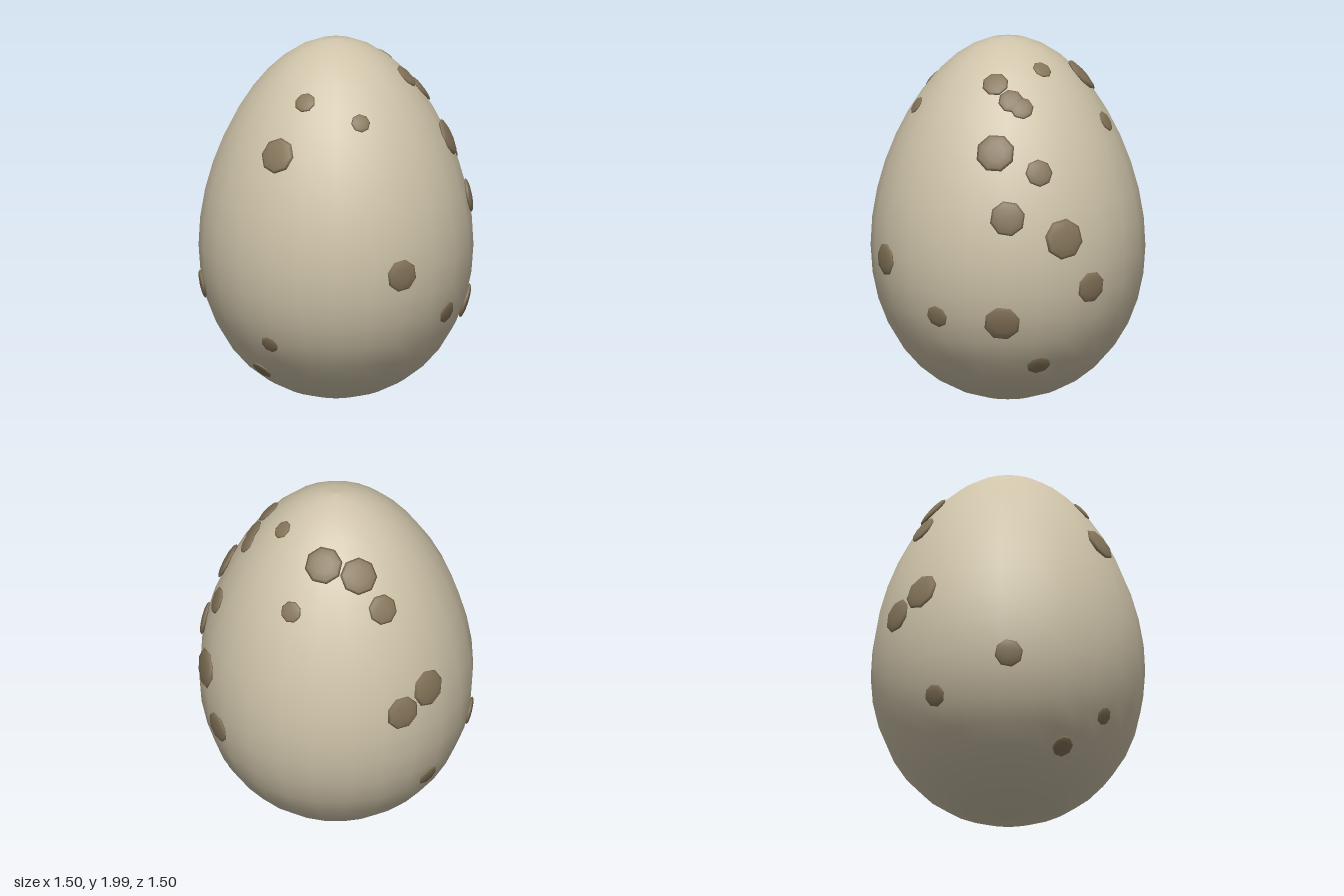
import * as THREE from 'three';

const CENTRE = 1.005, HALF = 0.995, WIDTH = 0.736, TAPER = 0.157;

// Egg radius at c, the height from -1 (bottom) to 1 (top)
const eggRadius = (c) => WIDTH * Math.sqrt(Math.max(0, 1 - c * c)) * (1 - TAPER * c);

// Each speckle: x and z give its heading, y its height, r its radius
const SPECKLES = [
  // left side
  [0.34, 1.80, 0.15, 0.073], [0.44, 1.72, 0.09, 0.07], [0.48, 1.685, 0.04, 0.066],
  [0.30, 1.86, -0.115, 0.054], [0.56, 1.46, 0.205, 0.107], [0.648, 1.355, -0.015, 0.076],
  [0.69, 1.12, 0.17, 0.097], [0.72, 1.0, -0.135, 0.112], [0.675, 0.72, -0.30, 0.088],
  [0.67, 0.54, 0.195, 0.1], [0.58, 0.285, -0.035, 0.067],
  // front
  [0.49, 0.56, 0.52, 0.064], [0.175, 0.83, 0.73, 0.09], [0, 1.64, 0.5, 0.053],
  [-0.26, 1.735, 0.34, 0.058], [-0.435, 1.465, 0.41, 0.1], [-0.49, 0.42, 0.43, 0.052],
  // right side
  [-0.485, 0.225, 0.21, 0.062], [-0.735, 0.64, -0.15, 0.078],
  // back
  [0.105, 1.79, -0.38, 0.104], [0.295, 1.56, -0.48, 0.06], [-0.08, 1.74, -0.43, 0.103],
  [-0.20, 1.57, -0.505, 0.084], [-0.45, 1.085, -0.58, 0.105], [-0.30, 1.0, -0.685, 0.097],
  [-0.453, 0.47, -0.504, 0.063],
];

export function createModel() {
  const group = new THREE.Group();
  group.name = 'speckledEgg';
  const shellMaterial = new THREE.MeshStandardMaterial({ color: 0xcfc4aa });
  shellMaterial.name = 'shell cream';
  const speckleMaterial = new THREE.MeshStandardMaterial({ color: 0x85755a });
  speckleMaterial.name = 'speckle brown';

  // Shell: a sphere stretched and tapered towards the top
  const shell = new THREE.SphereGeometry(1, 24, 20);
  const p = shell.attributes.position;
  for (let i = 0; i < p.count; i++) {
    const c = p.getY(i);
    const w = WIDTH * (1 - TAPER * c);
    p.setXYZ(i, p.getX(i) * w, CENTRE + HALF * c, p.getZ(i) * w);
  }
  shell.computeVertexNormals();
  // Share normals across the seam
  const n = shell.attributes.normal;
  for (let row = 0; row <= 20; row++) {
    const a = row * 25, b = a + 24;
    const v = new THREE.Vector3().fromBufferAttribute(n, a)
      .add(new THREE.Vector3().fromBufferAttribute(n, b)).normalize();
    n.setXYZ(a, v.x, v.y, v.z);
    n.setXYZ(b, v.x, v.y, v.z);
  }
  const shellMesh = new THREE.Mesh(shell, shellMaterial);
  shellMesh.name = 'shell';
  group.add(shellMesh);

  // Speckles: flattened eight-sided blobs lying on the shell
  const blob = new THREE.SphereGeometry(1, 8, 6);
  const up = new THREE.Vector3(0, 1, 0);
  for (const [x, y, z, r] of SPECKLES) {
    const c = (y - CENTRE) / HALF;
    const heading = Math.atan2(x, z);
    const radius = eggRadius(c);
    const slope = (eggRadius(c + 0.01) - eggRadius(c - 0.01)) / (0.02 * HALF);
    const normal = new THREE.Vector3(Math.sin(heading), -slope, Math.cos(heading)).normalize();
    const speckle = new THREE.Mesh(blob, speckleMaterial);
    speckle.name = 'speckle';
    speckle.position.set(radius * Math.sin(heading), y, radius * Math.cos(heading));
    speckle.quaternion.setFromUnitVectors(up, normal);
    speckle.scale.set(r, r * 0.2, r);
    group.add(speckle);
  }
  return group;
}
